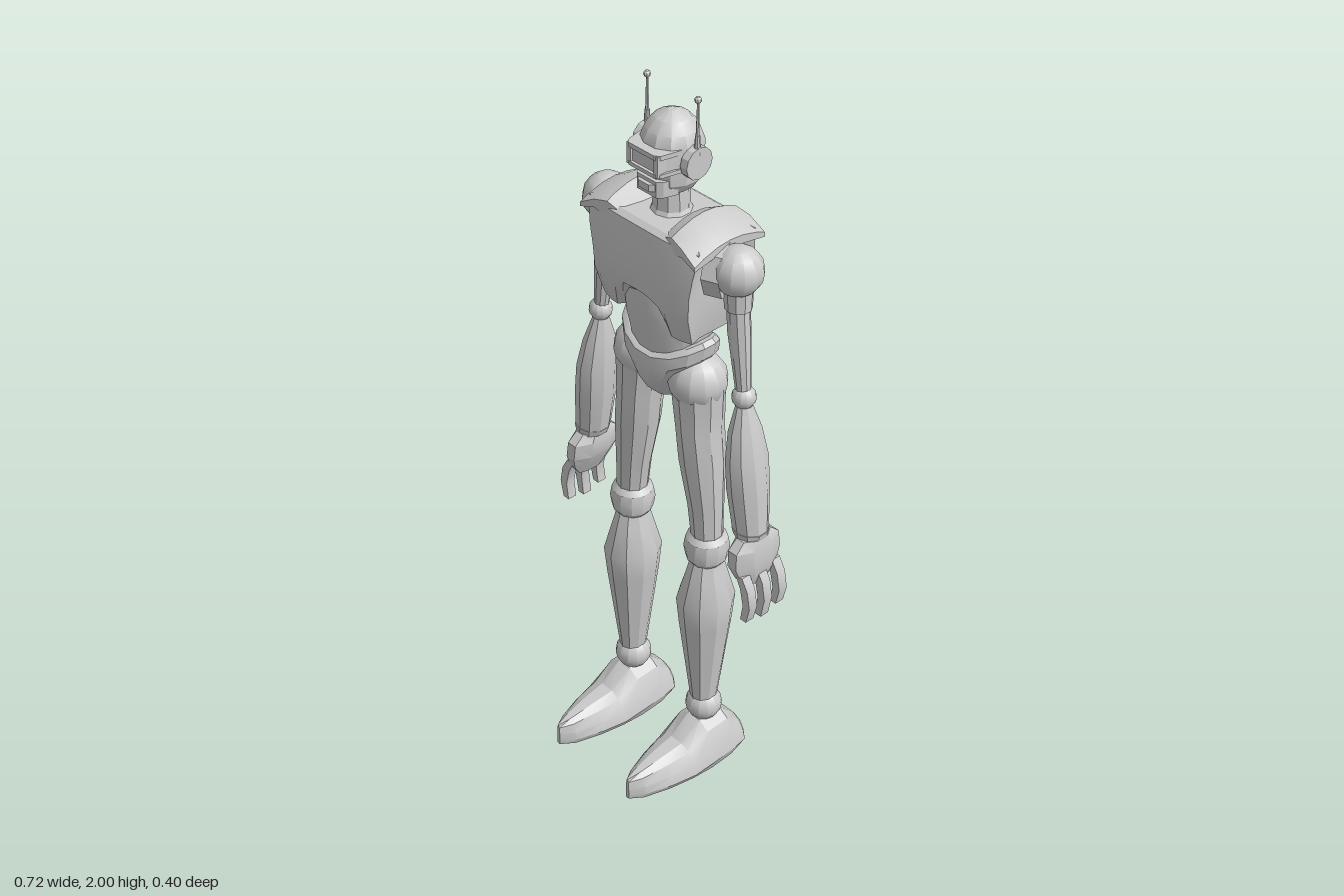
import * as THREE from 'three';
import { toCreasedNormals } from 'three/addons/utils/BufferGeometryUtils.js';

const grey = new THREE.MeshStandardMaterial({ color: 0xcccccc });

// Closed skin over a stack of rings of [x, y, z], capped at both ends
function skin(rings) {
  const n = rings[0].length, pos = [], idx = [];
  rings.forEach((r) => r.forEach((p) => pos.push(...p)));
  for (let i = 0; i < rings.length - 1; i++)
    for (let j = 0; j < n; j++) {
      const a = i * n + j, b = i * n + (j + 1) % n;
      idx.push(a, b, a + n, b, b + n, a + n);
    }
  [0, rings.length - 1].forEach((k) => {
    const c = pos.length / 3;
    pos.push(...[0, 1, 2].map((d) => rings[k].reduce((t, p) => t + p[d], 0) / n));
    for (let j = 0; j < n; j++) {
      const a = k * n + j, b = k * n + (j + 1) % n;
      if (k) idx.push(a, b, c); else idx.push(b, a, c);
    }
  });
  // Turn the faces outward if the enclosed volume is negative
  const v = (i) => new THREE.Vector3().fromArray(pos, idx[i] * 3);
  let volume = 0;
  for (let i = 0; i < idx.length; i += 3) volume += v(i).dot(v(i + 1).cross(v(i + 2)));
  if (volume < 0) idx.reverse();
  const g = new THREE.BufferGeometry();
  g.setAttribute('position', new THREE.Float32BufferAttribute(pos, 3));
  g.setIndex(idx);
  return g;
}

// Stacked ellipses: [centreX, y, radiusX, radiusZ], with sides lifted by an optional amount
const loft = (rows, n = 10) => skin(rows.map(([cx, y, rx, rz, lift = 0]) =>
  Array.from({ length: n }, (_, j) => {
    const a = (j + 0.5) / n * Math.PI * 2;
    return [cx + rx * Math.cos(a), y + lift * Math.cos(a) ** 2, rz * Math.sin(a)];
  })));

export function createModel() {
  const model = new THREE.Group();
  const add = (name, geo, x = 0, y = 0, z = 0, parent = model) => {
    const m = new THREE.Mesh(toCreasedNormals(geo, 0.42), grey);
    m.name = name;
    m.position.set(x - 0.01, y, z - 0.08);
    parent.add(m);
    return m;
  };
  const ball = (r) => new THREE.SphereGeometry(r, 12, 8);

  // Chest: shell with scooped sides and an arch over the belly, front and back
  const chestRing = ([y, hw, side, zf, arch]) => {
    const q = [[0, zf, arch], [0.045, zf, arch * 0.85], [0.075, zf, arch * 0.4], [0.095, zf * 0.99, 0],
      [hw * 0.8, zf * 0.97, 0], [hw, zf * 0.86, 0], [side, zf * 0.5, 0], [side, 0, 0]];
    const at = (sx, sz) => ([x, z, up]) => [x * sx, y + up, z * sz];
    return [...q.map(at(1, 1)), ...q.slice(0, -1).reverse().map(at(1, -1)),
      ...q.slice(1).map(at(-1, -1)), ...q.slice(1, -1).reverse().map(at(-1, 1))];
  };
  add('chest', skin([
    [1.675, 0.17, 0.15, 0.09, 0], [1.665, 0.188, 0.165, 0.105, 0], [1.6, 0.178, 0.16, 0.117, 0],
    [1.535, 0.166, 0.16, 0.118, 0], [1.475, 0.163, 0.16, 0.115, 0.022], [1.395, 0.153, 0.145, 0.088, 0.08],
  ].map(chestRing)));

  // Waist and pelvis
  add('abdomen', loft([[0, 1.5, 0.11, 0.105], [0, 1.44, 0.125, 0.104], [0, 1.39, 0.125, 0.098],
    [0, 1.34, 0.112, 0.09], [0, 1.29, 0.105, 0.08]], 16));
  add('pelvis', loft([[0, 1.31, 0.13, 0.082, 0.05], [0, 1.3, 0.142, 0.095, 0.05], [0, 1.265, 0.136, 0.098, 0.05],
    [0, 1.225, 0.085, 0.092, 0.02], [0, 1.185, 0.05, 0.07], [0, 1.155, 0.03, 0.04]], 16));

  // Neck and head
  add('neck', loft([[0, 1.65, 0.065, 0.065], [0, 1.685, 0.046, 0.046], [0, 1.76, 0.042, 0.045]]));
  add('head', loft([[0, 1.745, 0.055, 0.066], [0, 1.77, 0.072, 0.074], [0, 1.86, 0.077, 0.077],
    [0, 1.895, 0.064, 0.064], [0, 1.92, 0.042, 0.042], [0, 1.935, 0.01, 0.01]], 12));
  const band = (hw, z) => {
    const s = new THREE.Shape();
    [[-hw - 0.012, 0.03], [hw + 0.012, 0.03], [hw, z - 0.012], [hw - 0.012, z], [0.012 - hw, z], [-hw, z - 0.012]]
      .forEach(([x, y], i) => (i ? s.lineTo(x, -y) : s.moveTo(x, -y)));
    return s;
  };
  const wrap = (name, y, h, hw, z) => add(name,
    new THREE.ExtrudeGeometry(band(hw, z), { depth: h, bevelEnabled: false }).rotateX(-Math.PI / 2), 0, y);
  wrap('visorLens', 1.815, 0.045, 0.05, 0.088);
  wrap('visorTopRim', 1.855, 0.012, 0.055, 0.096);
  wrap('visorBottomRim', 1.808, 0.01, 0.055, 0.096);
  wrap('jaw', 1.745, 0.042, 0.044, 0.08);
  wrap('mouth', 1.76, 0.018, 0.03, 0.09);
  for (const s of [-1, 1]) add('visorCheek', new THREE.BoxGeometry(0.014, 0.055, 0.04), s * 0.045, 1.837, 0.074);

  // Foot section at z: half-width w, height h
  const footRing = ([z, w, h], cx) => {
    const half = [[0.85 * w, 0.004], [w, h * 0.25], [0.9 * w, h * 0.55], [0.62 * w, h * 0.86], [0.25 * w, h]];
    return [...half, ...half.map(([x, y]) => [-x, y]).reverse()].map(([x, y]) => [cx + x, y, z]);
  };

  for (const s of [-1, 1]) {
    const limb = new THREE.Group();
    limb.name = s > 0 ? 'leftSide' : 'rightSide';
    model.add(limb);
    const part = (name, geo, x = 0, y = 0, z = 0) => add(name, geo, x * s, y, z, limb);
    const limbLoft = (name, rows, n) => part(name, loft(rows.map(([x, ...r]) => [x * s, ...r]), n));

    // Ear disc and antenna
    part('earDisc', new THREE.CylinderGeometry(0.041, 0.041, 0.022, 12).rotateZ(Math.PI / 2), 0.081, 1.83);
    part('antennaBase', new THREE.CylinderGeometry(0.006, 0.009, 0.05, 8), 0.084, 1.875);
    part('antenna', new THREE.CylinderGeometry(0.0025, 0.005, 0.1, 6), 0.084, 1.94);
    part('antennaTip', new THREE.SphereGeometry(0.009, 8, 6), 0.084, 1.991);

    // Curved shoulder guard
    part('shoulderGuard', skin([[0.05, 1.655, 0.085, 0.1], [0.075, 1.695, 0.095, 0.1], [0.11, 1.712, 0.104, 0.045],
      [0.15, 1.702, 0.11, 0.022], [0.197, 1.675, 0.113, 0.012]].map(([x, y, zh, t]) => {
      const arc = [-1, -0.75, -0.35, 0, 0.35, 0.75, 1];
      const line = (d) => arc.map((k) => [x * s, y - 0.028 * k * k - d, k * zh]);
      return [...line(0), ...line(t).reverse()];
    })));

    // Arm
    part('shoulderMount', new THREE.CylinderGeometry(0.078, 0.078, 0.045, 8).rotateX(Math.PI / 8)
      .rotateZ(Math.PI / 2), 0.173, 1.595);
    part('shoulderBall', ball(0.064), 0.224, 1.605);
    limbLoft('shoulderSleeve', [[0.227, 1.57, 0.037, 0.037], [0.229, 1.505, 0.034, 0.034]]);
    limbLoft('upperArm', [[0.228, 1.52, 0.029, 0.029], [0.234, 1.44, 0.03, 0.028], [0.254, 1.27, 0.019, 0.019]]);
    part('elbow', ball(0.031), 0.256, 1.262);
    limbLoft('forearm', [[0.256, 1.245, 0.018, 0.02], [0.263, 1.17, 0.038, 0.045], [0.272, 1.09, 0.048, 0.058],
      [0.28, 1.0, 0.052, 0.056], [0.293, 0.88, 0.046, 0.046]]);
    limbLoft('wristCuff', [[0.293, 0.885, 0.048, 0.048], [0.295, 0.865, 0.042, 0.045]]);

    // Hand with three curled fingers; the left one is held slightly further out
    const out = s > 0 ? 0.01 : 0;
    limbLoft('palm', [[0.294 + out, 0.87, 0.033, 0.05], [0.295 + out, 0.845, 0.038, 0.08],
      [0.298 + out, 0.8, 0.038, 0.084], [0.306 + out, 0.76, 0.026, 0.068], [0.308 + out, 0.73, 0.014, 0.045]], 8);
    for (const k of [-1, 0, 1]) {
      const tip = k ? 0.012 : 0;
      part('finger', skin([[0.312, 0.775, 0.012], [0.331, 0.74, 0.013], [0.341, 0.69, 0.012], [0.332, 0.63 + tip, 0.01]]
        .map(([x, y, w]) => [[-w, -0.0135], [w, -0.0135], [w, 0.0135], [-w, 0.0135]]
          .map(([dx, dz]) => [(x + out + dx) * s, y, k * 0.053 + dz]))));
    }

    // Leg
    part('hipBall', ball(0.076), 0.098, 1.232);
    limbLoft('thigh', [[0.1, 1.22, 0.07, 0.068], [0.103, 1.17, 0.066, 0.066], [0.108, 1.1, 0.059, 0.064],
      [0.118, 1.0, 0.06, 0.06], [0.134, 0.86, 0.048, 0.046], [0.14, 0.77, 0.042, 0.042]]);
    limbLoft('knee', [[0.14, 0.775, 0.042, 0.042], [0.14, 0.76, 0.055, 0.055], [0.14, 0.73, 0.06, 0.06],
      [0.14, 0.7, 0.055, 0.055], [0.14, 0.683, 0.042, 0.042]], 12);
    limbLoft('calf', [[0.14, 0.7, 0.038, 0.042], [0.14, 0.655, 0.048, 0.055], [0.14, 0.56, 0.075, 0.08],
      [0.14, 0.48, 0.068, 0.072], [0.14, 0.215, 0.034, 0.04]]);
    part('ankle', ball(0.05), 0.14, 0.18);
    part('foot', skin([[-0.115, 0.045, 0.06], [-0.095, 0.068, 0.09], [-0.04, 0.084, 0.145], [0.035, 0.087, 0.145],
      [0.1, 0.08, 0.1], [0.17, 0.064, 0.092], [0.245, 0.036, 0.08], [0.28, 0.006, 0.074]]
      .map((r) => footRing(r, 0.14 * s))));
    part('sole', new THREE.BoxGeometry(0.11, 0.02, 0.15), 0.14, 0.01, 0);
  }
  return model;
}
